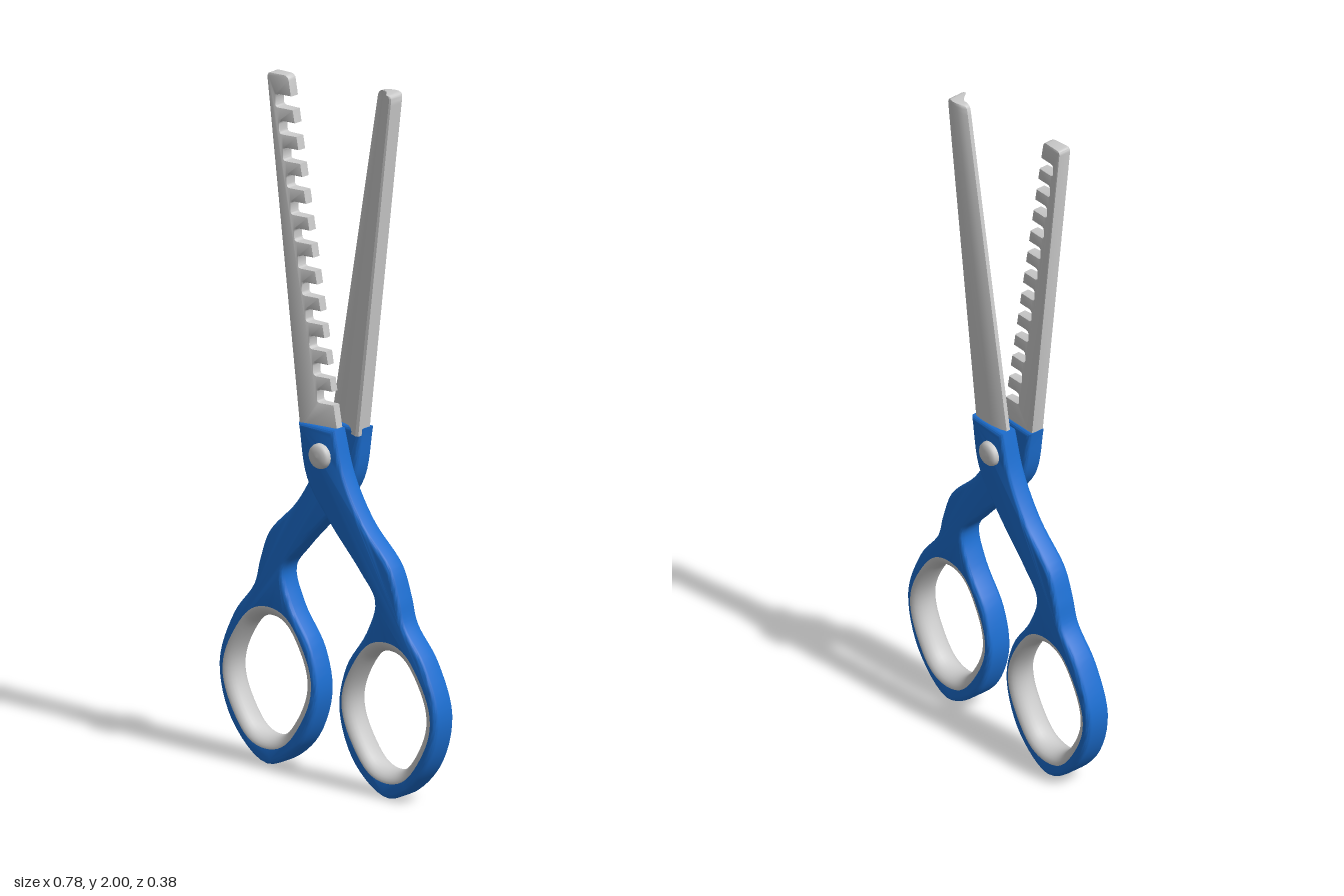
import * as THREE from 'three';
import { toCreasedNormals } from 'three/addons/utils/BufferGeometryUtils.js';
import { ParametricGeometry } from 'three/addons/geometries/ParametricGeometry.js';

const blue = new THREE.MeshStandardMaterial({ color: 0x1c6ed0 });
const grey = new THREE.MeshStandardMaterial({ color: 0xcccccc });
const lined = new THREE.MeshStandardMaterial({ color: 0xcccccc, side: THREE.DoubleSide });

// Blade edges lean outwards with height
const outerEdge = (y) => -0.088 - 0.1204 * (y - 1.02);
const innerEdge = (y) => 0.021 - 0.174 * (y - 1.1);
const notchEdge = (y) => -0.032 - 0.1765 * (y - 1.11);

function part(name, geometry, material) {
  const mesh = new THREE.Mesh(geometry, material);
  mesh.name = name;
  return mesh;
}

// Moves every vertex by a rule
function warp(geometry, rule) {
  const pos = geometry.attributes.position;
  const p = new THREE.Vector3();
  for (let i = 0; i < pos.count; i++) {
    rule(p.fromBufferAttribute(pos, i));
    pos.setXYZ(i, p.x, p.y, p.z);
  }
  return toCreasedNormals(geometry, 0.6);
}

// Depth inside the handle, t from 0 (inner face) to 1 (outer face); thinner at the collar
const handleDepth = (y, t) => THREE.MathUtils.lerp(-0.026 + 0.028 * y, 0.059, t);

// Finger hole outline, grown by d
function eggPoint(a, d) {
  const pinch = 1 - 0.1 * Math.sin(2 * a) ** 2;
  return new THREE.Vector2(
    0.232 + (0.128 + d) * Math.cos(a) * pinch,
    0.25 + (0.17 + d) * Math.sin(a)
  );
}

// Handle: collar, bent shank and finger ring in one rounded slab
function handleGeometry() {
  const outline = [
    [0.04, 1.02], [0.075, 0.89], [0.142, 0.77], [0.24, 0.665], [0.272, 0.58],
    [0.292, 0.505], [0.362, 0.41], [0.412, 0.26], [0.362, 0.1], [0.235, 0.002],
    [0.115, 0.075], [0.056, 0.22], [0.08, 0.35], [0.155, 0.465], [0.185, 0.56],
    [0.135, 0.63], [0.02, 0.755], [-0.06, 0.865], [-0.09, 1.02],
  ].map(([x, y]) => new THREE.Vector3(x, y, 0));
  const points = new THREE.CatmullRomCurve3(outline).getPoints(108);
  const shape = new THREE.Shape(points.map((p) => new THREE.Vector2(p.x, p.y)));
  // The outline runs clockwise, so the hole runs counter-clockwise
  const hole = [];
  for (let i = 0; i < 56; i++) hole.push(eggPoint((i / 56) * Math.PI * 2, 0.012));
  shape.holes.push(new THREE.Path(hole));
  const geometry = new THREE.ExtrudeGeometry(shape, {
    depth: 0.05, bevelThickness: 0.014, bevelSize: 0.014, bevelOffset: -0.014, bevelSegments: 4,
  });
  return warp(geometry, (p) => {
    p.z = handleDepth(p.y, (p.z + 0.014) / 0.078);
  });
}

// Soft lining of the finger hole, a half-round section swept round the hole
function liningGeometry() {
  return new ParametricGeometry((u, v, target) => {
    const p = eggPoint(u * Math.PI * 2, 0.032 * (1 - Math.sin(v * Math.PI)));
    target.set(p.x, p.y, handleDepth(p.y, 0.5 + 0.53 * Math.cos(v * Math.PI)));
  }, 64, 12);
}

// Thinning blade with a row of square teeth
function combGeometry() {
  const shape = new THREE.Shape();
  const r = 0.01;
  shape.moveTo(outerEdge(1), 1);
  shape.lineTo(innerEdge(1), 1);
  for (let i = 0; i < 12; i++) {
    const y0 = 1.085 + i * 0.0745;
    const y1 = y0 + 0.037;
    const n = notchEdge((y0 + y1) / 2);
    shape.lineTo(innerEdge(y0), y0);
    shape.lineTo(n + r, y0);
    shape.quadraticCurveTo(n, y0, n, y0 + r);
    shape.lineTo(n, y1 - r);
    shape.quadraticCurveTo(n, y1, n + r, y1);
    shape.lineTo(innerEdge(y1), y1);
  }
  // Rounded end
  shape.lineTo(innerEdge(1.985), 1.985);
  shape.quadraticCurveTo(innerEdge(2), 2, innerEdge(2) - 0.015, 2);
  shape.lineTo(outerEdge(2) + 0.015, 2);
  shape.quadraticCurveTo(outerEdge(2), 2, outerEdge(1.985), 1.985);
  const geometry = new THREE.ExtrudeGeometry(shape, {
    depth: 0.035, bevelThickness: 0.004, bevelSize: 0.004, bevelOffset: -0.004,
    bevelSegments: 2, curveSegments: 4,
  });
  // Thins evenly towards the teeth
  return warp(geometry, (p) => {
    const across = p.x - outerEdge(p.y);
    p.z = 0.012 + ((p.z + 0.004) / 0.043) * (0.041 - 0.13 * across);
  });
}

// Plain hollow-ground blade: one section, stretched between the leaning edges
function bladeGeometry() {
  const section = [
    [0, -0.006], [0, 0.04], [0.06, 0.046], [0.3, 0.049], [0.6, 0.047],
    [0.85, 0.041], [1, 0.034], [1, 0.022], [0.8, 0.023], [0.55, 0.017], [0.3, 0.004], [0.08, -0.008],
  ].map(([s, w]) => new THREE.Vector2(s, -w));
  const geometry = new THREE.ExtrudeGeometry(new THREE.Shape(section), {
    depth: 1, steps: 32, bevelEnabled: false,
  });
  geometry.rotateX(-Math.PI / 2);
  const r = 0.015;
  return warp(geometry, (p) => {
    // Rows crowd towards the end, where the corners are rounded
    p.y = 1 + Math.sin((p.y * Math.PI) / 2);
    const rise = Math.max(0, p.y - (2 - r));
    const inset = r - Math.sqrt(Math.max(0, r * r - rise * rise));
    p.x = THREE.MathUtils.lerp(outerEdge(p.y) + inset, innerEdge(p.y) - inset, p.x);
  });
}

// Domed head of the pivot
function rivetGeometry() {
  const profile = [[0.036, 0.045], [0.036, 0.064], [0.034, 0.071], [0.028, 0.077], [0.015, 0.08], [0, 0.081]];
  const geometry = new THREE.LatheGeometry(profile.map(([r, h]) => new THREE.Vector2(r, h)), 32);
  geometry.rotateX(Math.PI / 2);
  geometry.translate(-0.004, 0.94, 0);
  return geometry;
}

export function createModel() {
  const model = new THREE.Group();
  model.name = 'thinningScissors';
  const handle = handleGeometry();
  const lining = liningGeometry();
  const rivet = rivetGeometry();

  // Two equal halves, the second turned half way round
  ['combHalf', 'bladeHalf'].forEach((name, i) => {
    const half = new THREE.Group();
    half.name = name;
    half.add(
      part('handle', handle, blue),
      part('fingerLining', lining, lined),
      part('pivotHead', rivet, grey),
      i === 0 ? part('combBlade', combGeometry(), grey) : part('plainBlade', bladeGeometry(), grey)
    );
    half.rotation.y = -0.342 + i * Math.PI;
    model.add(half);
  });
  return model;
}
